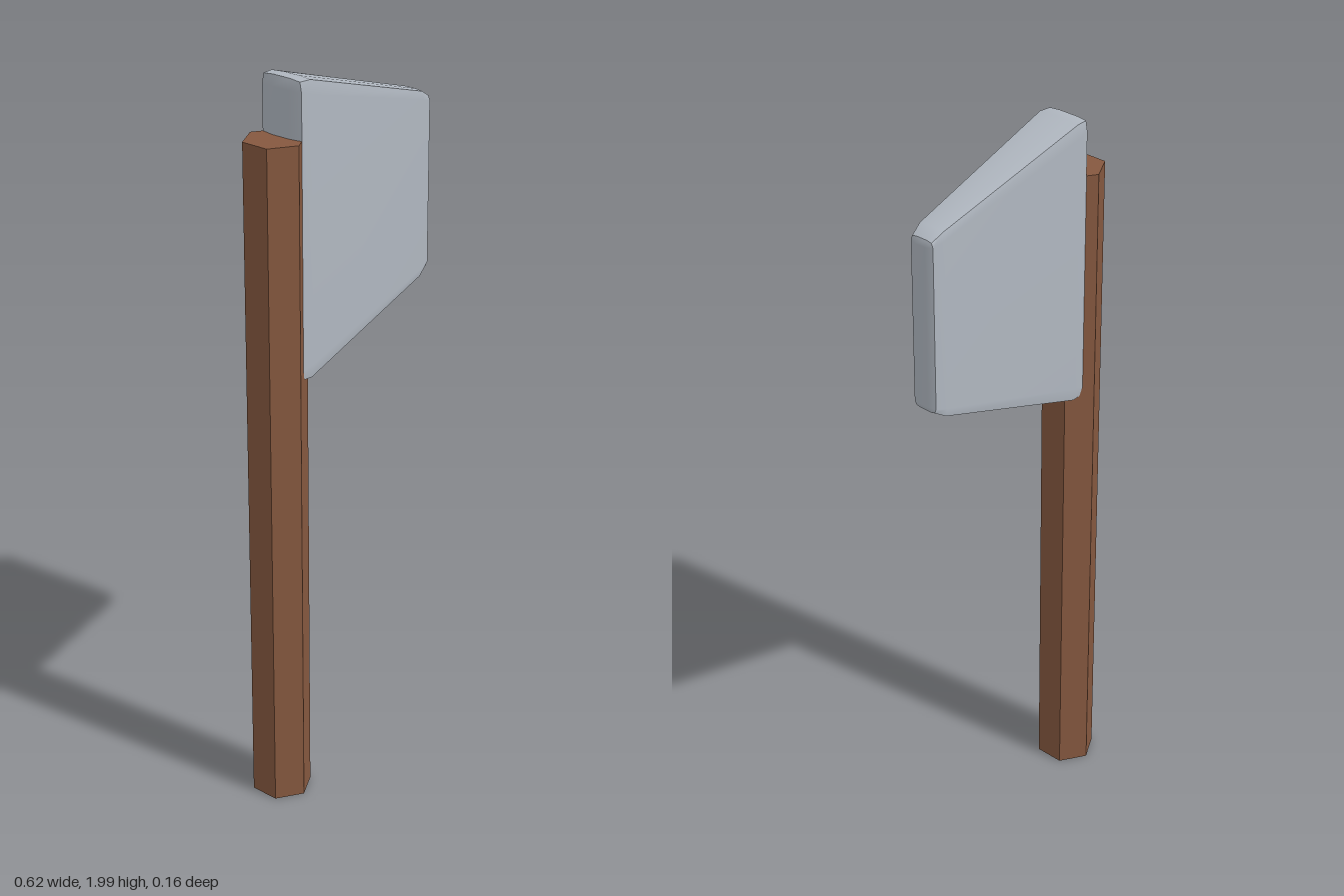
import * as THREE from 'three';

const steel = new THREE.MeshStandardMaterial({ color: 0xb0b7c0 });
steel.name = 'steel';
const wood = new THREE.MeshStandardMaterial({ color: 0x85583f });
wood.name = 'wood';

// Softly bulged, tapered wedge: a 3x3x3 box whose vertices are moved by rule.
// Each box face keeps its own normals, so the outer edges stay crisp.
function bladeGeometry() {
  const geo = new THREE.BoxGeometry(3, 3, 3, 3, 3, 3);
  const pos = geo.attributes.position;
  const stations = [-0.22, -0.18, 0.27, 0.31];
  const spread = (c, inset) => (Math.abs(c) > 1 ? 1 : inset) * Math.sign(c);
  for (let i = 0; i < pos.count; i++) {
    const u = pos.getX(i), v = pos.getY(i), w = pos.getZ(i);
    const [ex, ey, ez] = [u, v, w].map((c) => Math.abs(c) > 1);
    // pull edges and corners slightly inward
    const x = stations[Math.round(u + 1.5)] - (ex && (ey || ez) ? Math.sign(u) * 0.007 : 0);
    const halfY = 0.398 - 0.303 * (x + 0.2) - (ey && ex ? 0.01 : 0) - (ey && ez ? 0.003 : 0);
    const halfZ = 0.068 - 0.054 * (x + 0.18) - (ez && ex ? 0.005 : 0) - (ez && ey ? 0.005 : 0);
    pos.setXYZ(i, x, 1.603 + spread(v, 0.9) * halfY, spread(w, 0.4) * halfZ);
  }
  geo.computeVertexNormals();
  return geo;
}

export function createModel() {
  const model = new THREE.Group();
  model.name = 'axe';

  // Six-sided shaft
  const shaft = new THREE.CylinderGeometry(0.081, 0.081, 1.845, 6).toNonIndexed();
  shaft.computeVertexNormals();
  const handle = new THREE.Mesh(shaft, wood);
  handle.name = 'handle';
  handle.position.set(-0.241, 1.845 / 2, 0);
  model.add(handle);

  // Tapered head set into the shaft
  const blade = new THREE.Mesh(bladeGeometry(), steel);
  blade.name = 'blade';
  model.add(blade);

  return model;
}
